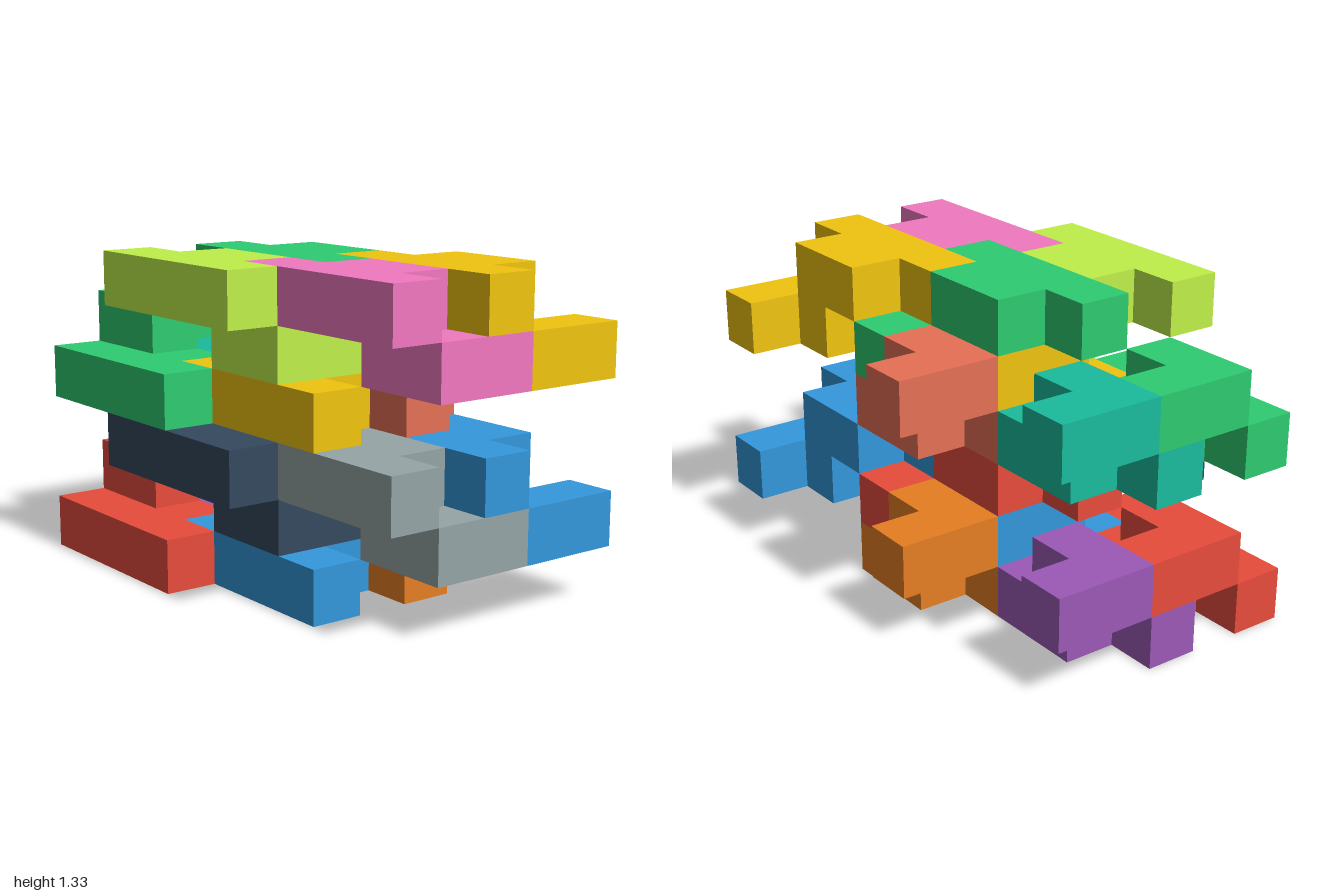
import * as THREE from 'three';
import { mergeGeometries } from 'three/addons/utils/BufferGeometryUtils.js';

const UNIT = 2 / 9; // edge of one cube cell

// One-cell-thick slab from an (x, z) outline, with its top at height y
function slab(outline, y) {
  const shape = new THREE.Shape(outline.map(([x, z]) => new THREE.Vector2(x, z)));
  const g = new THREE.ExtrudeGeometry(shape, { depth: 1, bevelEnabled: false });
  return g.rotateX(Math.PI / 2).translate(0, y, 0);
}

// Interlocking block: a four-cell bar with a two-cell bump, and a hooked foot beneath the bump
function blockGeometry() {
  const bar = slab([[0, 0], [1, 0], [1, 1], [2, 1], [2, 3], [1, 3], [1, 4], [0, 4]], 1);
  const hook = slab([[1, 2], [2, 2], [2, 3], [3, 3], [3, 4], [1, 4]], 0);
  return mergeGeometries([bar, hook]);
}

export function createModel() {
  const model = new THREE.Group();
  model.name = 'interlockingBlocks';
  const geometry = blockGeometry();

  // Start corner (x, z) of each bar; flipped blocks run towards the back
  const hanging = [[0, 2], [1, 5], [2, 2], [3, 5]];
  const standing = [[0, 4], [1, 7], [2, 4], [3, 7]];

  // Two identical three-layer tiers, differing only in colour
  const tiers = [
    {
      name: 'lower', y: 0,
      hanging: [0x34495e, 0x95a5a6, 0xe74c3c, 0x3498db],
      standing: [0xe74c3c, 0x3498db, 0x9b59b6, 0xe67e22],
    },
    {
      name: 'upper', y: 3,
      hanging: [0xc0f04a, 0xf178c0, 0x2ecc71, 0xf1c40f],
      standing: [0x2ecc71, 0xf1c40f, 0x1abc9c, 0xe67055],
    },
  ];

  const addBlock = (parent, name, color, x, y, z, flipped) => {
    const mesh = new THREE.Mesh(geometry, new THREE.MeshStandardMaterial({ color }));
    mesh.name = name;
    mesh.position.set((x - 3) * UNIT, y * UNIT, (z - 4.5) * UNIT);
    mesh.scale.setScalar(UNIT);
    if (flipped) mesh.rotation.x = Math.PI;
    parent.add(mesh);
  };

  for (const tier of tiers) {
    const group = new THREE.Group();
    group.name = `${tier.name}Tier`;
    hanging.forEach(([x, z], i) =>
      addBlock(group, `hangingBlock${i + 1}`, tier.hanging[i], x, tier.y + 2, z, false));
    standing.forEach(([x, z], i) =>
      addBlock(group, `standingBlock${i + 1}`, tier.standing[i], x, tier.y + 1, z, true));
    model.add(group);
  }
  return model;
}
